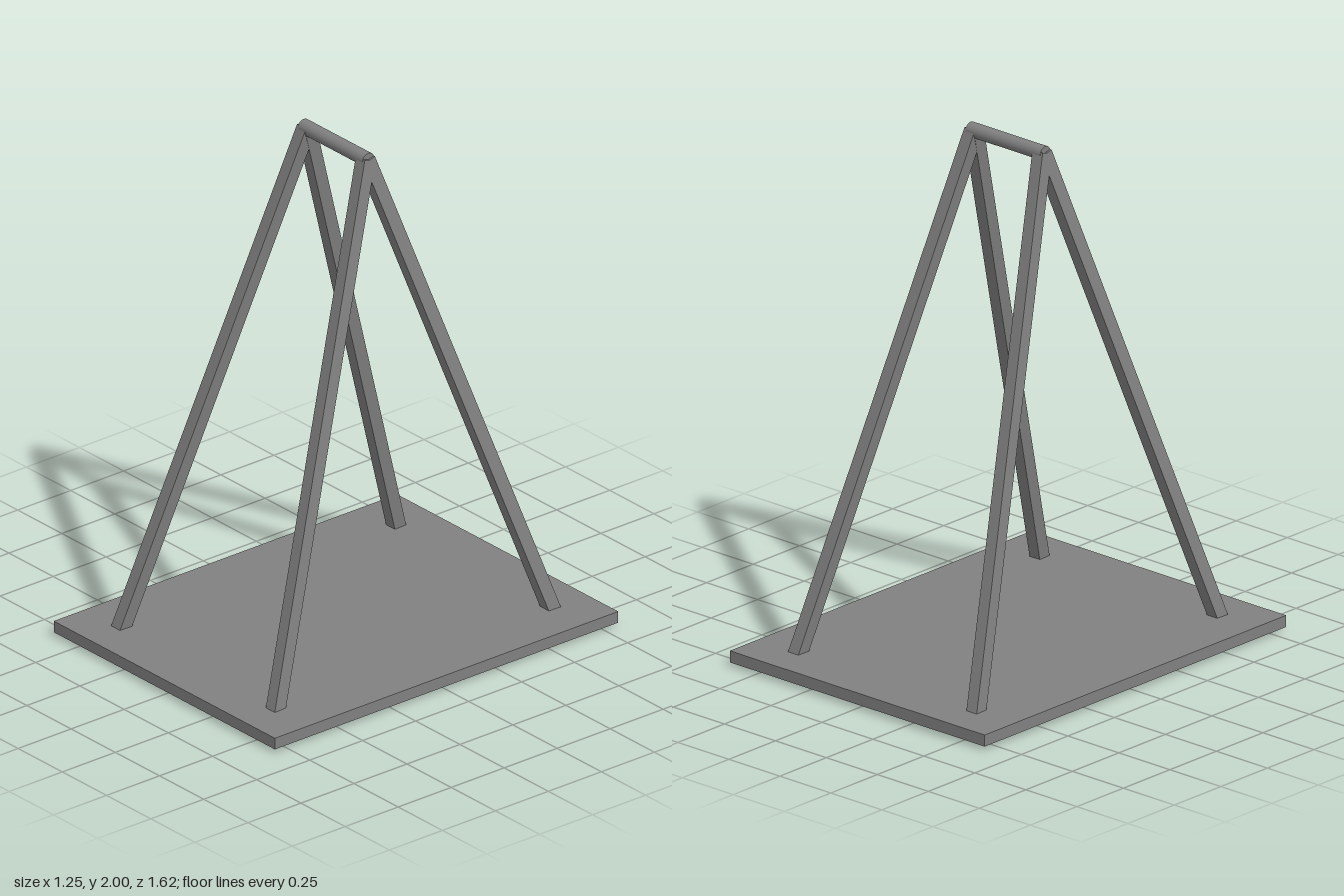
import * as THREE from 'three';

export function createModel() {
  const group = new THREE.Group();
  const grey = new THREE.MeshStandardMaterial({ color: 0x808080 });
  grey.name = 'grey';

  const add = (name, geometry) => {
    const mesh = new THREE.Mesh(geometry, grey);
    mesh.name = name;
    group.add(mesh);
    return mesh;
  };

  // Flat base plate
  add('base', new THREE.BoxGeometry(1.25, 0.045, 1.62)).position.y = 0.038;

  // Round bar across the top
  const bar = add('topBar', new THREE.CylinderGeometry(0.028, 0.028, 0.366, 32));
  bar.rotation.z = Math.PI / 2;
  bar.position.y = 1.972;

  // Four splayed square legs, their ends poking just through the base
  const addLeg = (name, sx, sz) => {
    const top = new THREE.Vector3(sx * 0.167, 1.972, 0);
    const foot = new THREE.Vector3(sx * 0.443, 0.012, sz * 0.664);
    const axis = top.clone().sub(foot);
    const leg = add(name, new THREE.BoxGeometry(0.05, axis.length(), 0.052));
    axis.normalize();
    const zAxis = new THREE.Vector3(1, 0, 0).cross(axis).normalize();
    const xAxis = axis.clone().cross(zAxis);
    leg.quaternion.setFromRotationMatrix(new THREE.Matrix4().makeBasis(xAxis, axis, zAxis));
    leg.position.copy(top).add(foot).multiplyScalar(0.5);
  };
  for (const [side, sx] of [['Left', 1], ['Right', -1]]) {
    addLeg('front' + side + 'Leg', sx, 1);
    addLeg('back' + side + 'Leg', sx, -1);
  }

  return group;
}
